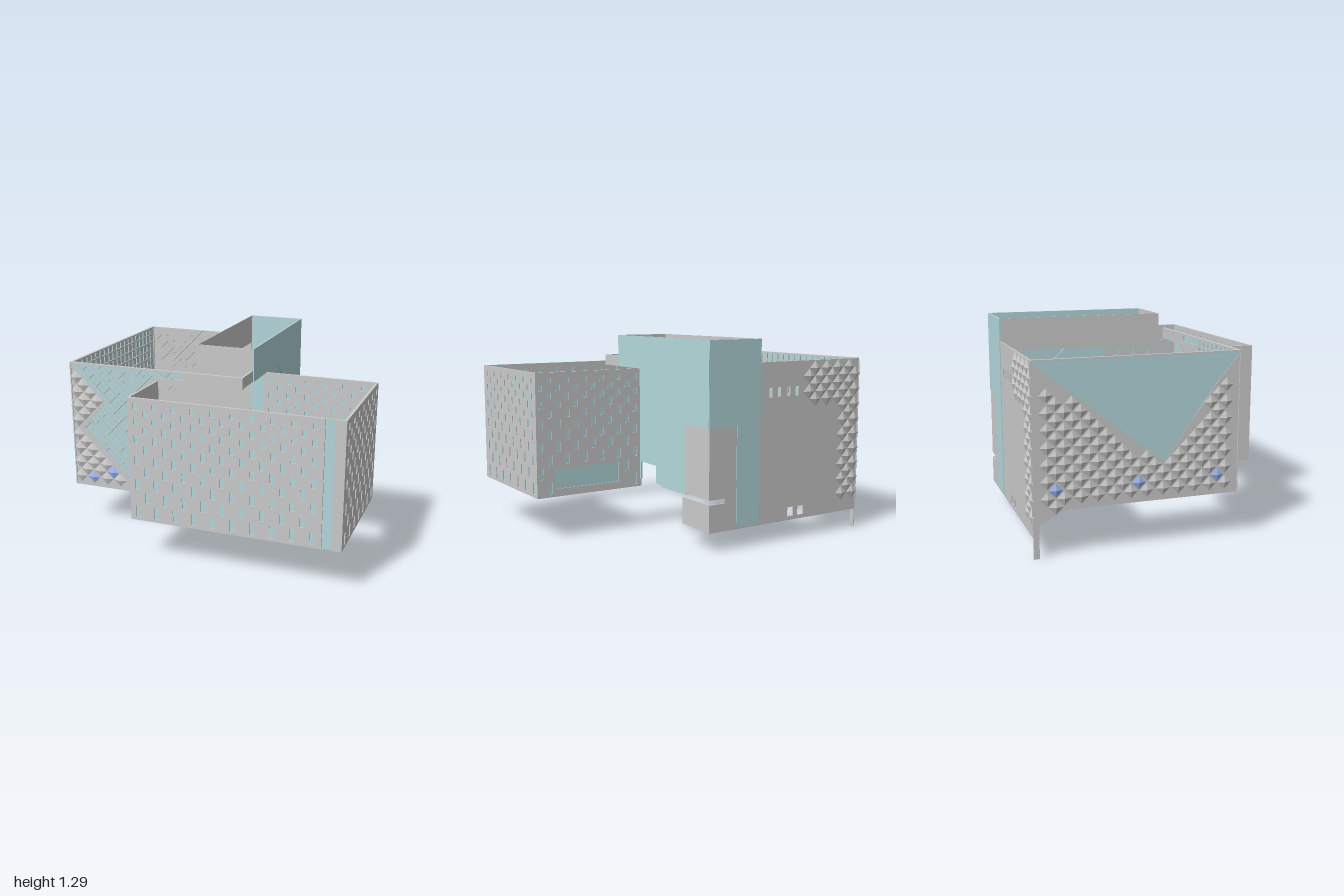
import * as THREE from 'three';
import { mergeGeometries } from 'three/addons/utils/BufferGeometryUtils.js';

const mat = (color) => new THREE.MeshStandardMaterial({ color, side: THREE.DoubleSide, flatShading: true });
const rect = (u0, u1, y0, y1) => [[u0, y0], [u1, y0], [u1, y1], [u0, y1]];

function inside(p, poly) {
  let hit = false;
  for (let i = 0, j = poly.length - 1; i < poly.length; j = i++) {
    const [ax, ay] = poly[i], [bx, by] = poly[j];
    if ((ay > p[1]) !== (by > p[1]) && p[0] < ((bx - ax) * (p[1] - ay)) / (by - ay) + ax) hit = !hit;
  }
  return hit;
}

// Flat plate from a (u, y) outline, centred on depth w
function plate(outline, w, t, holes = []) {
  const toPts = (a) => a.map(([x, y]) => new THREE.Vector2(x, y));
  const shape = new THREE.Shape(toPts(outline));
  holes.forEach((h) => shape.holes.push(new THREE.Path(toPts(h))));
  return new THREE.ExtrudeGeometry(shape, { depth: t, bevelEnabled: false }).translate(0, 0, w - t / 2);
}

const bar = (u, y, w, len, thick, depth, angle) =>
  new THREE.BoxGeometry(len, thick, depth).rotateZ(angle).translate(u, y, w);

// Visit the nodes of a 45-degree grid covering a polygon
const S = 0.05;
function eachNode(poly, odd, fn) {
  const us = poly.map((p) => p[0]), ys = poly.map((p) => p[1]);
  for (let i = Math.floor(Math.min(...us) / S) - 1; i * S < Math.max(...us) + S; i++)
    for (let j = Math.floor(Math.min(...ys) / S) - 1; j * S < Math.max(...ys) + S; j++)
      if (Math.abs(i + j) % 2 === odd) fn(i * S, j * S);
}

// Diamond pyramids filling a polygon; those nearest the accents go to a second list
function pyramids(poly, w, dir, accents = []) {
  const plain = [], accent = [];
  eachNode(poly, 0, (u, y) => {
    const k = S * 0.85;
    const corners = [[u + k, y], [u - k, y], [u, y + k], [u, y - k]];
    if (!corners.every((c) => inside(c, poly))) return;
    const g = new THREE.ConeGeometry(S, 0.016, 4, 1, true).rotateX((dir * Math.PI) / 2)
      .translate(u, y, w + dir * 0.008);
    const near = accents.some(([a, b]) => Math.abs(a - u) + Math.abs(b - y) < S);
    (near ? accent : plain).push(g);
  });
  return [plain, accent];
}

// Diagonal lattice bars with a small cross in each cell
function lattice(poly, w) {
  const out = [];
  eachNode(poly, 0, (u, y) => {
    for (const s of [1, -1]) {
      const m = [u + S / 2, y + (s * S) / 2];
      if (inside(m, poly)) out.push(bar(m[0], m[1], w, S * Math.SQRT2, 0.005, 0.006, (s * Math.PI) / 4));
    }
  });
  eachNode(poly, 1, (u, y) => {
    if (inside([u, y], poly))
      for (const s of [1, -1]) out.push(bar(u, y, w, 0.026, 0.003, 0.004, (s * Math.PI) / 4));
  });
  return out;
}

// Square grid of bars
function grid(u0, u1, y0, y1, w) {
  const out = [], p = 0.062;
  for (let u = u0; u <= u1; u += p) out.push(bar(u, (y0 + y1) / 2, w, y1 - y0, 0.009, 0.008, Math.PI / 2));
  for (let y = y0 + 0.005; y <= y1; y += p) out.push(bar((u0 + u1) / 2, y, w, u1 - u0, 0.009, 0.008, 0));
  return out;
}

// Staggered window holes, shorter towards the top
function windowHoles(u0, u1, y0, y1, skip) {
  const holes = [];
  let y = y0 + 0.02, row = 0;
  while (true) {
    const pitch = 0.1 - 0.06 * ((y - y0) / (y1 - y0)), h = pitch * 0.78;
    if (y + h > y1 - 0.01) break;
    for (let u = u0 + 0.035 + (row % 2) * 0.0625; u + 0.032 < u1 - 0.01; u += 0.125) {
      const hit = skip && u + 0.032 > skip[0] - 0.01 && u < skip[1] + 0.01 && y + h > skip[2] - 0.01 && y < skip[3] + 0.01;
      if (!hit) holes.push(rect(u, u + 0.032, y, y + h));
    }
    y += pitch;
    row++;
  }
  return holes;
}

export function createModel() {
  const model = new THREE.Group();
  const grey = mat(0xcccccc), teal = mat(0xb4d9dc), blue = mat(0xa0b8f0);

  // axis 'z': u = x, depth = z.  axis 'x': u = z, depth = -x
  function side(name, axis, pos) {
    const g = new THREE.Group();
    g.name = name;
    if (axis === 'x') { g.rotation.y = -Math.PI / 2; g.position.x = pos; } else g.position.z = pos;
    model.add(g);
    return (part, geos, material) => {
      if (!geos.length) return;
      const m = new THREE.Mesh(geos.length > 1 ? mergeGeometries(geos) : geos[0], material);
      m.name = part;
      g.add(m);
    };
  }

  // Front block: walls pierced by windows with a glass sheet in the middle
  const Y0 = 0.28, Y1 = 1.08;
  function windowWall(name, axis, pos, u0, u1, skip) {
    const add = side(name, axis, pos);
    const holes = windowHoles(u0, u1, Y0, Y1, skip);
    if (skip) holes.push(rect(...skip));
    add('windowPanel', [plate(rect(u0, u1, Y0, Y1), 0, 0.016, holes)], grey);
    add('glassSheet', [plate(rect(u0 + 0.01, u1 - 0.01, Y0 + 0.01, Y1 - 0.01), 0, 0.003)], teal);
  }
  windowWall('blockFront', 'z', 0.832, -0.36, 0.87);
  windowWall('blockFrontEnd', 'z', 0.832, 0.93, 0.993);
  windowWall('blockRight', 'x', 0.985, -0.03, 0.84);
  windowWall('blockBack', 'z', -0.022, 0.225, 0.993, [0.4, 0.87, 0.33, 0.46]);
  side('blockFrontSlot', 'z', 0.828)('slotGlass', [plate(rect(0.865, 0.935, Y0, Y1), 0, 0.006)], teal);
  side('blockLeft', 'x', -0.354)('plainWall', [plate(rect(0.43, 0.84, Y0, Y1), 0, 0.014)], grey);

  // Gallery front: lattice over glass, raised diamonds at the outer corner
  const front = side('galleryFront', 'z', 0.43);
  const frontGlass = [[-0.985, 0.28], [-0.4, 0.28], [-0.4, 1.05], [-0.36, 1.1], [-0.16, 1.1], [-0.16, 1.15], [-0.985, 1.15]];
  const frontScales = [[-0.995, 0.28], [-0.48, 0.28], [-0.9, 0.71], [-0.74, 0.89], [-0.995, 1.145]];
  const frontOpen = [[-0.48, 0.28], [-0.4, 0.28], [-0.4, 1.05], [-0.36, 1.1], [-0.16, 1.1], [-0.16, 1.15],
    [-0.995, 1.15], [-0.74, 0.89], [-0.9, 0.71]];
  front('glassSheet', [plate(frontGlass, 0, 0.004)], teal);
  front('scaleBacking', [plate(frontScales, 0.003, 0.004)], grey);
  const [fs, fa] = pyramids(frontScales, 0.004, 1, [[-0.79, 0.62], [-0.69, 0.43], [-0.84, 0.38]]);
  front('scales', fs, grey);
  front('blueScales', fa, blue);
  front('diagonalLattice', lattice(frontOpen, 0.005), grey);
  front('innerGrid', grid(-0.98, -0.41, 0.285, 1.14, -0.006), grey);
  front('post', [plate(rect(-0.405, -0.355, 0.28, 1.08), 0.003, 0.014)], grey);
  front('beam', [plate([[-0.4, 1.075], [0.235, 1.075], [0.235, 1.15], [-0.16, 1.15], [-0.16, 1.1], [-0.4, 1.1]], 0, 0.02)], grey);
  front('rim', [plate(rect(-0.99, 0.235, 1.142, 1.152), 0, 0.02)], grey);
  side('beamReturn', 'x', 0.228)('returnPanel', [plate(rect(0.23, 0.44, 1.08, 1.152), 0, 0.014)], grey);

  // Gallery outer side: smooth glass wedge among raised diamonds
  const outer = side('gallerySide', 'x', -0.982);
  const sideAll = [[-0.83, 0.18], [-0.65, 0.28], [0.435, 0.28], [0.435, 1.15], [-0.83, 1.15]];
  const sideScales = [[-0.84, 0.18], [-0.65, 0.28], [0.44, 0.28], [0.44, 1.14], [0.3, 0.98], [-0.04, 0.51], [-0.84, 1.14]];
  outer('glassSheet', [plate(sideAll, 0, 0.004)], teal);
  outer('scaleBacking', [plate(sideScales, 0.003, 0.004)], grey);
  const [ss, sa] = pyramids(sideScales, 0.003, 1, [[-0.69, 0.39], [-0.2, 0.4], [0.33, 0.41], [-0.7, 0.85]]);
  outer('scales', ss, grey);
  outer('blueScales', sa, blue);
  outer('innerGrid', grid(-0.82, 0.42, 0.285, 1.14, -0.006), grey);
  outer('rim', [plate(rect(-0.83, 0.435, 1.142, 1.152), 0, 0.02)], grey);
  outer('cornerLeg', [plate(rect(-0.835, -0.8, 0, 0.2), 0, 0.006)], grey);

  // Gallery back: plain wall with small openings and a stepped patch of diamonds
  const back = side('galleryBack', 'z', -0.83);
  const openings = [-0.245, -0.315, -0.39, -0.46].map((x) => rect(x, x + 0.025, 0.93, 0.99));
  openings.push(rect(-0.52, -0.47, 0.15, 0.21), rect(-0.435, -0.385, 0.15, 0.21));
  back('plainWall', [plate(rect(-0.985, -0.15, 0.125, 1.15), 0, 0.01, openings)], grey);
  const backScales = [[-0.995, 0.18], [-0.78, 0.18], [-0.78, 0.84], [-0.5, 0.84], [-0.5, 1.15], [-0.995, 1.15]];
  const [bs] = pyramids(backScales, -0.005, -1);
  back('scales', bs, grey);
  back('innerLattice', lattice(backScales.map(([u, y]) => [Math.max(u, -0.97), y]), 0.007), grey);
  back('stairStrip', [plate([[-0.15, 0.14], [0.03, 0.14], [0.03, 0.77], [0.24, 0.77], [0.24, 1.295], [-0.15, 1.295]], -0.003, 0.012)], teal);
  back('stairFoot', [plate(rect(-0.15, 0.03, 0.125, 0.142), 0, 0.01)], grey);
  back('lowerPanel', [plate([[0.03, 0.125], [0.235, 0.125], [0.235, 0.3], [0.12, 0.3], [0.12, 0.33], [0.235, 0.33],
    [0.235, 0.77], [0.03, 0.77]], 0, 0.01)], grey);

  // Inner side below the tower: glass with a doorway, then grey panels split by a slot
  const inner = side('galleryInnerSide', 'x', 0.228);
  inner('glassWall', [plate([[-0.58, 0.32], [-0.3, 0.32], [-0.3, 0.33], [-0.23, 0.33], [-0.23, 0.45], [-0.04, 0.45],
    [-0.04, 0.33], [-0.015, 0.33], [-0.015, 1.08], [-0.27, 1.08], [-0.58, 0.77]], 0, 0.012)], teal);
  inner('upperPanel', [plate(rect(-0.83, -0.575, 0.33, 0.775), 0, 0.014)], grey);
  inner('lowerPanel', [plate(rect(-0.83, -0.55, 0.13, 0.3), 0, 0.014)], grey);

  // Roof tower: glass on the inner side, grey on the other two
  side('towerRight', 'x', 0.237)('glassWall', [plate([[0.243, 1.08], [0.243, 1.295], [-0.836, 1.295], [-0.836, 0.77],
    [-0.58, 0.77], [-0.27, 1.08]], 0, 0.01)], teal);
  side('towerLeft', 'x', -0.147)('plainWall', [plate(rect(-0.836, 0.243, 1.09, 1.295), 0, 0.006)], grey);
  side('towerFront', 'z', 0.24)('plainWall', [plate(rect(-0.15, 0.242, 1.09, 1.295), 0, 0.006)], grey);

  return model;
}
